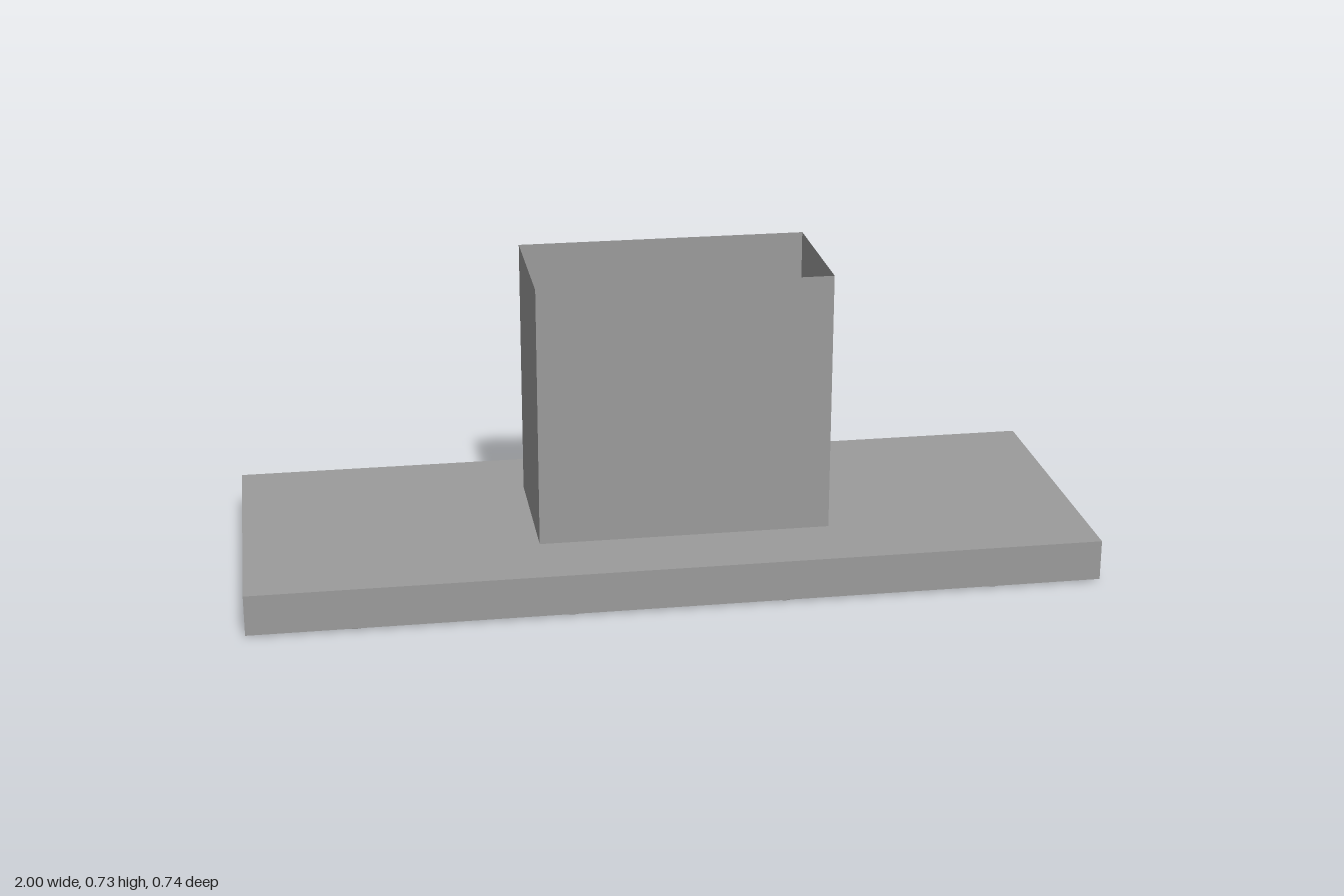
import * as THREE from 'three';

const SLAB = { width: 2, depth: 0.736, bottom: 0.005, top: 0.102, recess: 0.004 };
const BIN = { left: -0.31, right: 0.383, halfDepth: 0.179, top: 0.728 };
const COLOR = 0x9b9b9b;

function rectangle(path, w, d) {
  return path.moveTo(-w / 2, -d / 2).lineTo(w / 2, -d / 2).lineTo(w / 2, d / 2).lineTo(-w / 2, d / 2).closePath();
}

export function createModel() {
  const model = new THREE.Group();
  const grey = new THREE.MeshStandardMaterial({ color: COLOR });
  const thin = new THREE.MeshStandardMaterial({ color: COLOR, side: THREE.DoubleSide });

  function add(name, geometry, x, y, z, parent = model, material = grey) {
    const mesh = new THREE.Mesh(geometry, material);
    mesh.name = name;
    mesh.position.set(x, y, z);
    parent.add(mesh);
    return mesh;
  }

  // Base slab, with a low rim that leaves a shallow recess underneath
  const rimTop = SLAB.bottom + SLAB.recess;
  const slabHeight = SLAB.top - rimTop;
  add('baseSlab', new THREE.BoxGeometry(SLAB.width, slabHeight, SLAB.depth), 0, rimTop + slabHeight / 2, 0);

  const rimShape = rectangle(new THREE.Shape(), SLAB.width, SLAB.depth);
  rimShape.holes.push(rectangle(new THREE.Path(), SLAB.width - 0.16, SLAB.depth - 0.16));
  const rim = new THREE.ExtrudeGeometry(rimShape, { depth: SLAB.recess, bevelEnabled: false });
  rim.rotateX(-Math.PI / 2);
  add('baseRim', rim, 0, SLAB.bottom, 0);

  // Open-topped bin made of four thin walls
  const bin = new THREE.Group();
  bin.name = 'openBin';
  model.add(bin);
  const width = BIN.right - BIN.left;
  const height = BIN.top - SLAB.top;
  const centreX = (BIN.left + BIN.right) / 2;
  const centreY = SLAB.top + height / 2;
  for (const side of [-1, 1]) {
    const long = add(side > 0 ? 'frontWall' : 'backWall', new THREE.PlaneGeometry(width, height),
      centreX, centreY, side * BIN.halfDepth, bin, thin);
    if (side < 0) long.rotation.y = Math.PI;
    const short = add(side > 0 ? 'leftWall' : 'rightWall', new THREE.PlaneGeometry(2 * BIN.halfDepth, height),
      centreX + side * width / 2, centreY, 0, bin, thin);
    short.rotation.y = side * Math.PI / 2;
  }

  // Small round feet: four along each long edge, one at each end
  const feet = new THREE.Group();
  feet.name = 'feet';
  model.add(feet);
  const footGeometry = new THREE.CylinderGeometry(0.032, 0.03, 0.008, 24);
  for (const side of [-1, 1]) {
    for (const x of [-0.75, -0.253, 0.245, 0.742]) add('foot', footGeometry, x, 0.004, side * 0.33, feet);
    add('foot', footGeometry, side * 0.965, 0.004, 0, feet);
  }

  return model;
}
